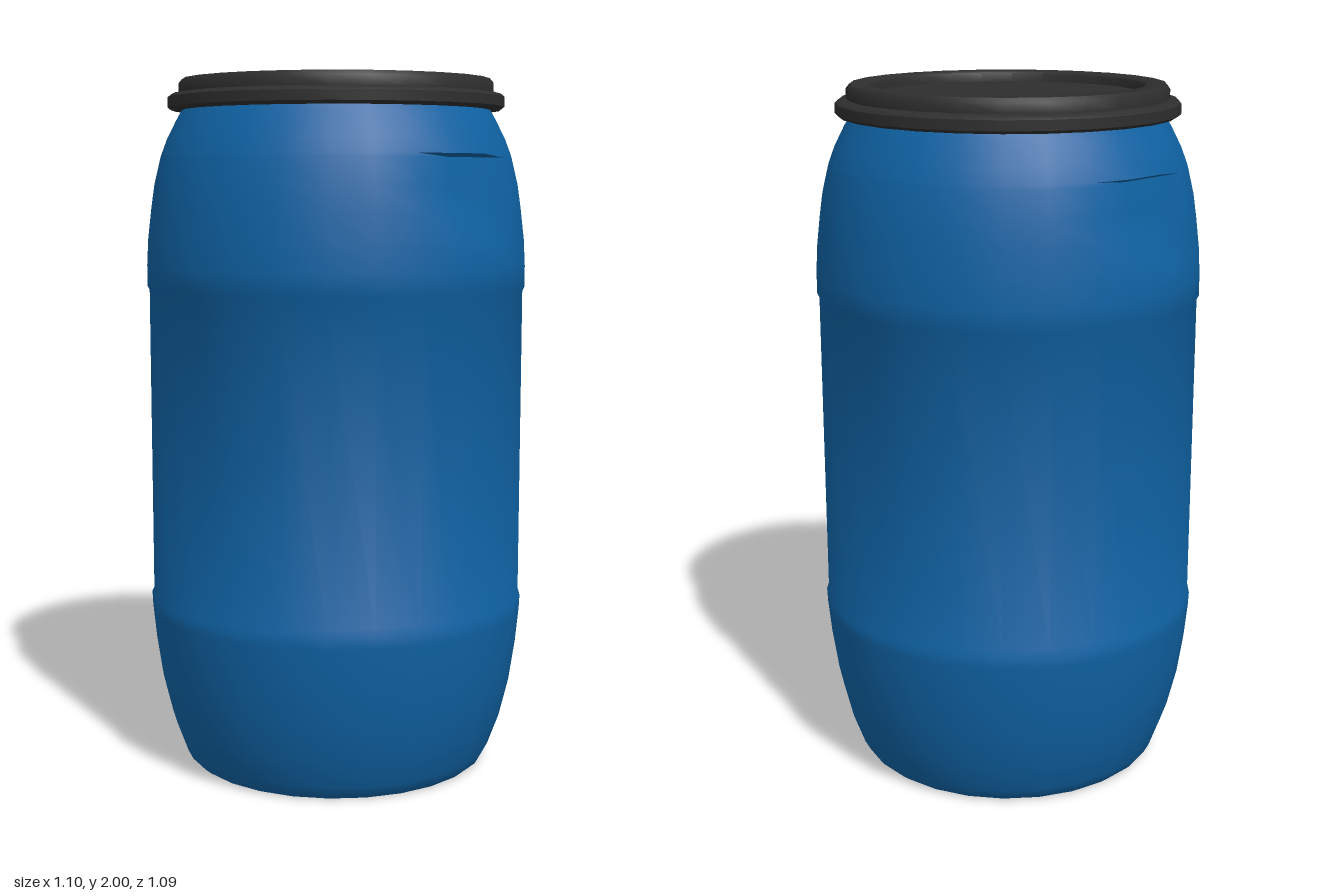
import * as THREE from 'three';
import { toCreasedNormals } from 'three/addons/utils/BufferGeometryUtils.js';

const SIDES = 26;

// Lathe with a corner on the x axis, so a flat facet faces front and back
function lathe(profile) {
  const points = profile.map(([r, y]) => new THREE.Vector2(r, y));
  return new THREE.LatheGeometry(points, SIDES, Math.PI / 2);
}

// Flatten the three front and back facets into hand grips under an overhanging lip
function pressGrips(geometry, bottom, top) {
  const p = geometry.attributes.position;
  const edge = 1.5 * (2 * Math.PI / SIDES);
  for (let i = 0; i < p.count; i++) {
    const x = p.getX(i), y = p.getY(i), z = p.getZ(i);
    if (y < bottom || y > top) continue;
    const limit = Math.hypot(x, z) * Math.cos(edge);
    if (Math.abs(z) > limit) p.setZ(i, Math.sign(z) * limit);
  }
}

export function createModel() {
  const group = new THREE.Group();
  group.name = 'barrel';
  const blue = new THREE.MeshStandardMaterial({ color: 0x0f62a3 });
  blue.name = 'blue plastic';
  const black = new THREE.MeshStandardMaterial({ color: 0x2e2e2e });
  black.name = 'black plastic';

  const add = (name, geometry, material, crease) => {
    const mesh = new THREE.Mesh(toCreasedNormals(geometry, crease), material);
    mesh.name = name;
    group.add(mesh);
  };

  // Body: dished underside, bulging base, slightly inset wall, shoulder
  const body = lathe([
    [0, 0.05], [0.3, 0.05], [0.37, 0.012], [0.39, 0.0], [0.43, 0.0], [0.445, 0.012],
    [0.46, 0.04], [0.493, 0.13], [0.52, 0.24], [0.538, 0.36], [0.548, 0.46], [0.55, 0.5],
    [0.544, 0.512], [0.544, 1.398], [0.55, 1.41], [0.55, 1.47], [0.546, 1.545],
    [0.536, 1.63], [0.526, 1.7], [0.508, 1.775], [0.505, 1.785],
    [0.488, 1.83], [0.46, 1.885], [0.44, 1.92],
  ]);
  pressGrips(body, 1.6, 1.78);
  add('body', body, blue, 0.65);

  // Lid: clamp ring, stepped rim and sunken centre
  add('lid', lathe([
    [0.42, 1.912], [0.475, 1.912], [0.485, 1.92], [0.485, 1.948], [0.475, 1.957],
    [0.453, 1.96], [0.453, 1.988], [0.443, 2.0], [0.393, 2.0], [0.386, 1.994],
    [0.384, 1.97], [0, 1.97],
  ]), black, 0.8);

  return group;
}
